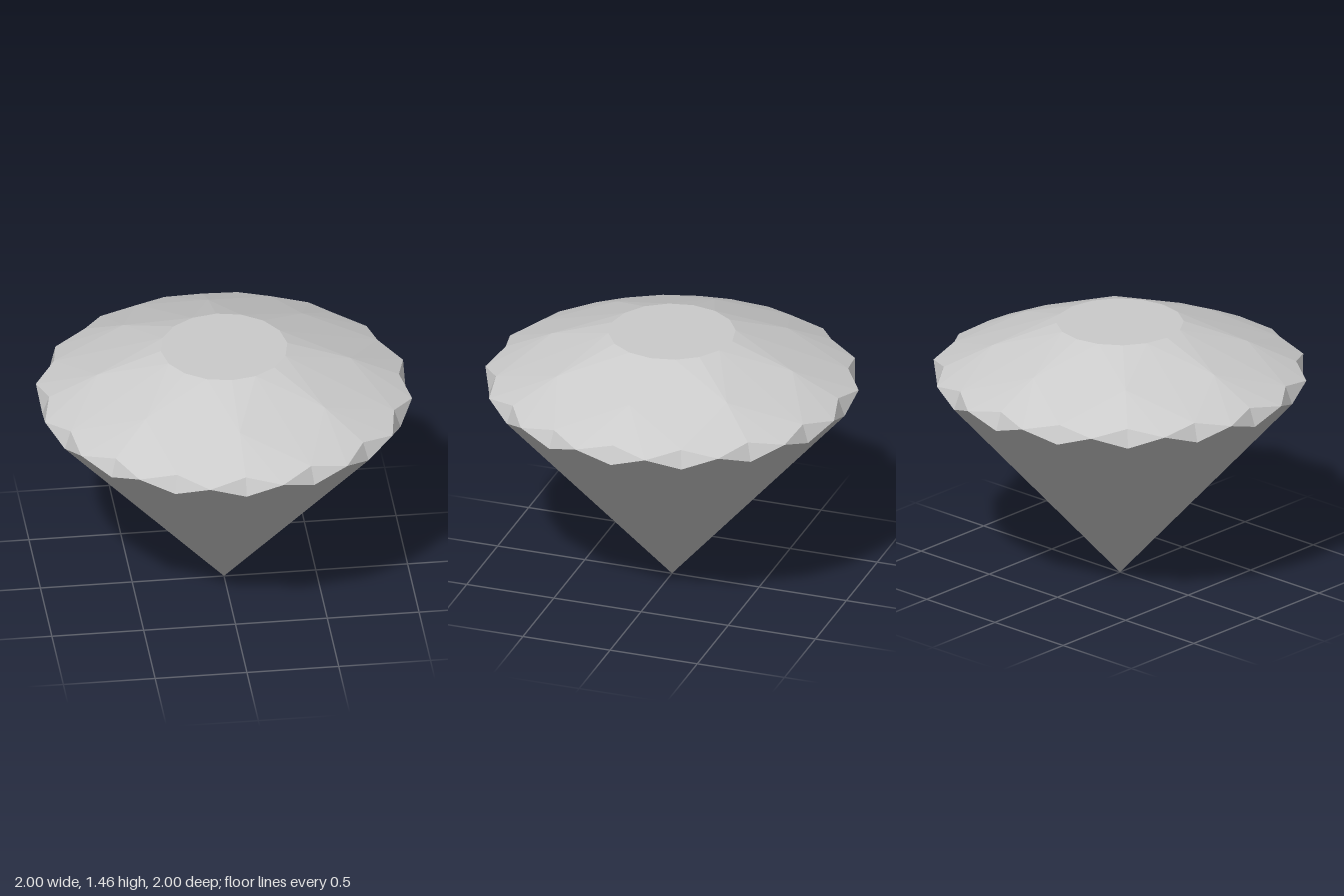
import * as THREE from 'three';

const SIDES = 16;

// Point k sixteenths of a turn around the axis
function ring(radius, y) {
  return (k) => {
    const a = (k / SIDES) * Math.PI * 2;
    return new THREE.Vector3(Math.sin(a) * radius, y, Math.cos(a) * radius);
  };
}

// Flat facets, each a fan of corners turned to face away from the stone's core
function facetMesh(name, facets) {
  const core = new THREE.Vector3(0, 0.9, 0);
  const positions = [];
  for (const f of facets) {
    for (let i = 1; i < f.length - 1; i++) {
      const [a, b, c] = [f[0], f[i], f[i + 1]];
      const normal = b.clone().sub(a).cross(c.clone().sub(a));
      const outward = normal.dot(a.clone().sub(core)) > 0;
      for (const p of outward ? [a, b, c] : [a, c, b]) positions.push(p.x, p.y, p.z);
    }
  }
  const geometry = new THREE.BufferGeometry();
  geometry.setAttribute('position', new THREE.Float32BufferAttribute(positions, 3));
  geometry.computeVertexNormals();
  const mesh = new THREE.Mesh(
    geometry,
    new THREE.MeshStandardMaterial({ color: 0xcccccc, flatShading: true })
  );
  mesh.name = name;
  return mesh;
}

export function createModel() {
  const gem = new THREE.Group();
  gem.name = 'cutGem';

  const tip = new THREE.Vector3(0, 0, 0);
  const lower = ring(0.99, 1.11);
  const girdle = ring(1.0196, 1.175);
  const upper = ring(0.953, 1.21);
  const crown = ring(0.69, 1.332);
  const table = ring(0.345, 1.455);

  const pavilion = [], band = [], upperFacets = [], mains = [], stars = [], top = [];
  for (let k = 0; k < SIDES; k++) {
    // Long kites running down to the tip
    pavilion.push([tip, lower(k), girdle(k + 0.5), lower(k + 1)]);
    // Dented diamonds around the widest part
    band.push([upper(k), girdle(k - 0.5), lower(k), girdle(k + 0.5)]);
    // Facets between the band and the crown corners, in mirrored pairs
    const corner = crown(2 * Math.round(k / 2 + (k % 2 ? 0.25 : 0)));
    upperFacets.push([corner, upper(k), girdle(k + 0.5), upper(k + 1)]);
    top.push(table(k));
  }
  for (let k = 0; k < SIDES; k += 2) {
    // Main kites from band to table, and the star facets between them
    mains.push([table(k + 1), crown(k), upper(k + 1), crown(k + 2)]);
    stars.push([crown(k), table(k - 1), table(k), table(k + 1)]);
  }

  gem.add(
    facetMesh('pavilion', pavilion),
    facetMesh('girdleBand', band),
    facetMesh('upperGirdleFacets', upperFacets),
    facetMesh('crownMainFacets', mains),
    facetMesh('starFacets', stars),
    facetMesh('tableFacet', [top])
  );
  return gem;
}
